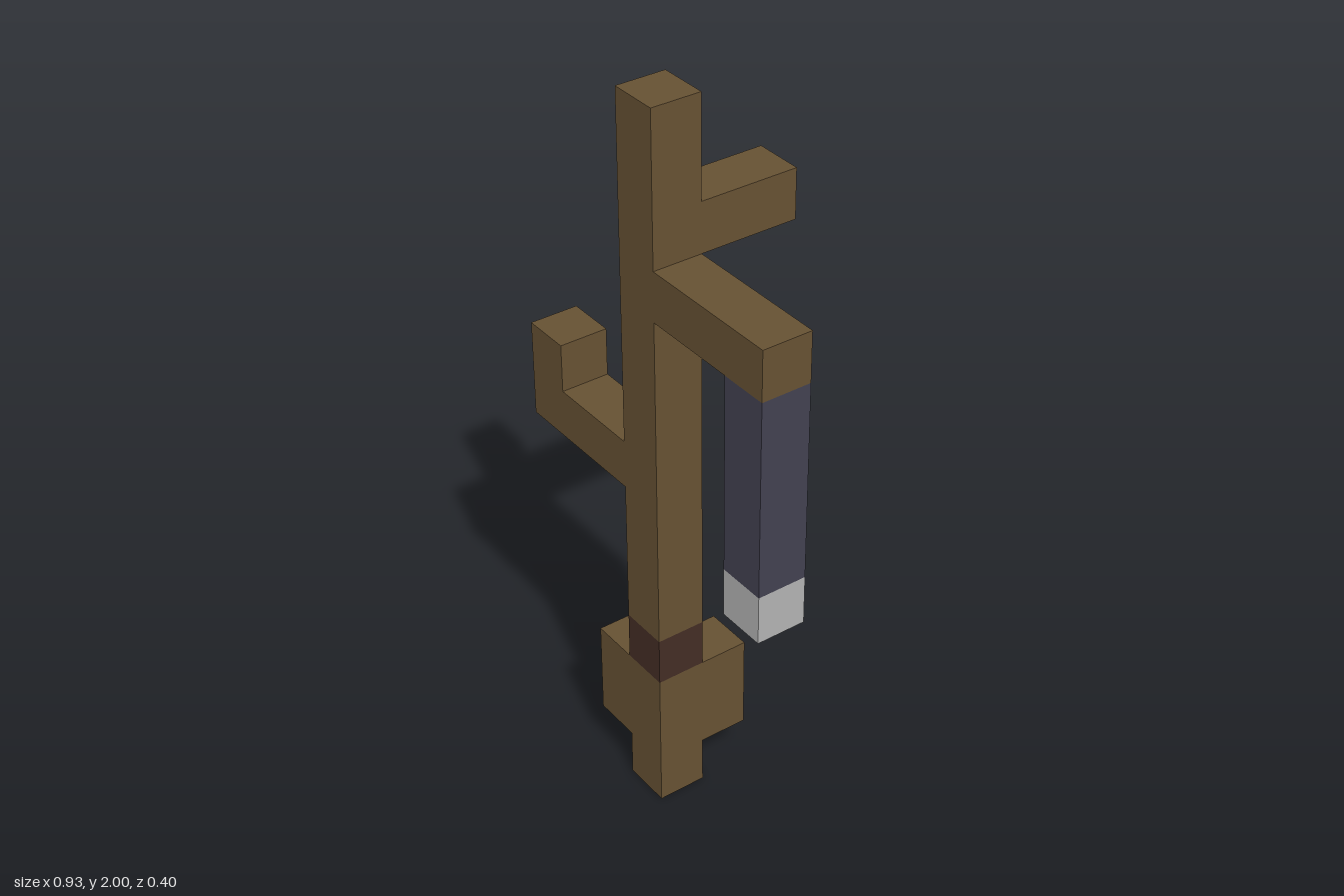
import * as THREE from 'three';

// All parts sit on a grid of cubes, 15 cubes tall
const U = 2 / 15;

const material = (name, color) => {
  const m = new THREE.MeshStandardMaterial({ color });
  m.name = name;
  return m;
};

export function createModel() {
  const wood = material('brown wood', 0x665133);
  const darkWood = material('dark wood', 0x432d24);
  const slate = material('slate', 0x424150);
  const paleGrey = material('pale grey', 0xb2b2b2);

  const model = new THREE.Group();
  model.name = 'branchedPole';

  // Box from a minimum corner and a size, both in grid cubes
  const block = (name, mat, [x, y, z], [w, h, d]) => {
    const mesh = new THREE.Mesh(new THREE.BoxGeometry(w * U, h * U, d * U), mat);
    mesh.name = name;
    mesh.position.set((x + w / 2) * U, (y + h / 2) * U, (z + d / 2) * U);
    model.add(mesh);
  };

  // Trunk with its dark band
  block('lowerTrunk', wood, [-0.5, 0, 0.5], [1, 3, 1]);
  block('trunkBand', darkWood, [-0.5, 3, 0.5], [1, 1, 1]);
  block('upperTrunk', wood, [-0.5, 4, 0.5], [1, 11, 1]);

  // Lumps near the foot
  block('rightLump', wood, [-1.5, 1, 0.5], [1, 2, 1]);
  block('backLump', wood, [-0.5, 1, -0.5], [1, 2, 1]);

  // Branches
  block('rightBranch', wood, [-3.5, 7, 0.5], [3, 1, 1]);
  block('rightBranchTip', wood, [-3.5, 8, 0.5], [1, 1, 1]);
  block('leftBranch', wood, [0.5, 11, 0.5], [3, 1, 1]);
  block('backBranch', wood, [-0.5, 12, -1.5], [1, 1, 2]);

  // Hanging piece under the left branch
  block('hangingBar', slate, [2.5, 7, 0.5], [1, 4, 1]);
  block('hangingTip', paleGrey, [2.5, 6, 0.5], [1, 1, 1]);

  return model;
}
